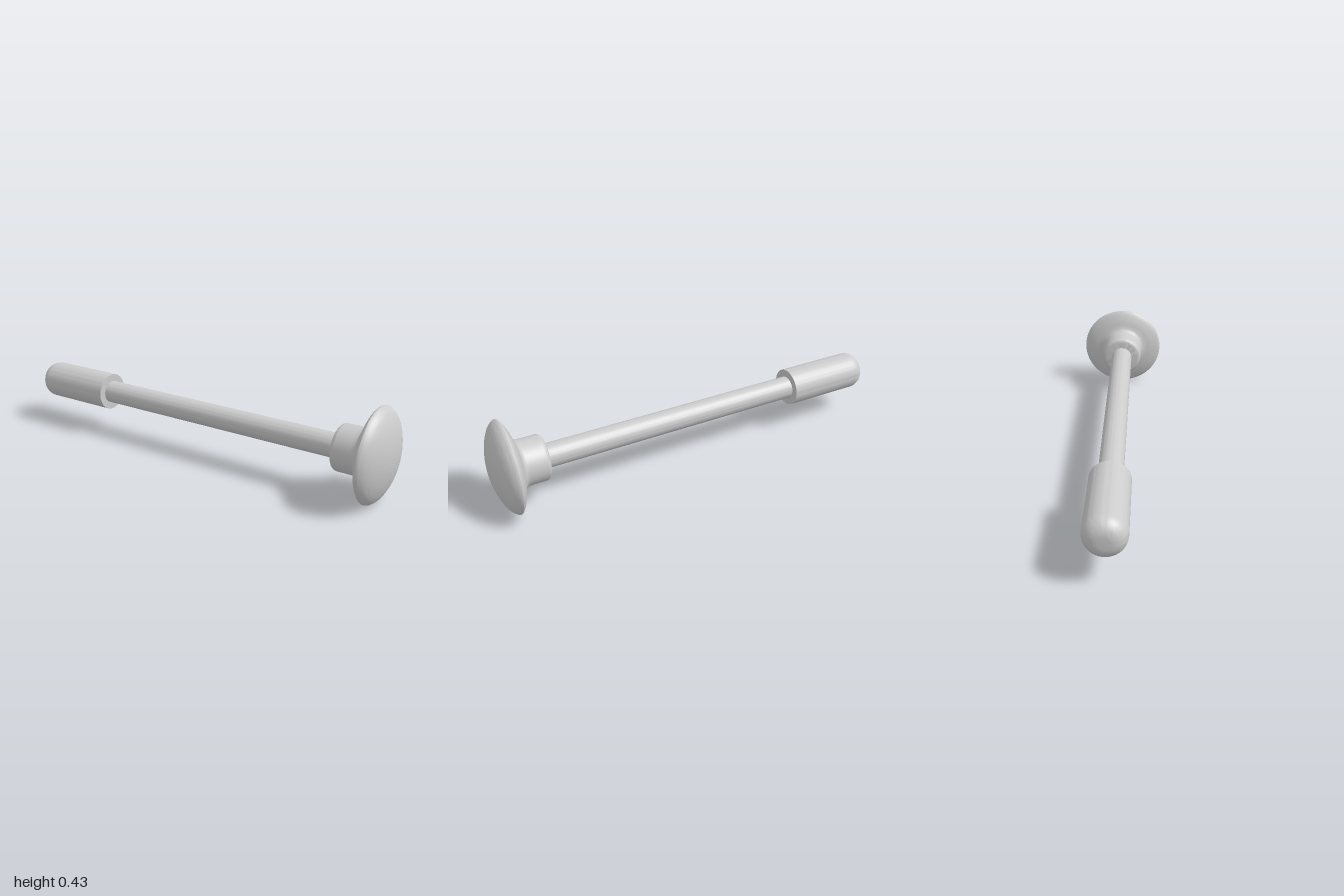
import * as THREE from 'three';
import { toCreasedNormals } from 'three/addons/utils/BufferGeometryUtils.js';

const AXIS_Y = 0.217;
const SEGMENTS = 64;

// Revolve a list of [radius, z] points, ordered back to front, around the z axis
function turned(name, profile) {
  const points = profile.map(([r, z]) => new THREE.Vector2(r, z));
  const geometry = new THREE.LatheGeometry(points, SEGMENTS).rotateX(Math.PI / 2);
  const mesh = new THREE.Mesh(
    toCreasedNormals(geometry, 0.7),
    new THREE.MeshStandardMaterial({ color: 0xcccccc })
  );
  mesh.name = name;
  return mesh;
}

// Rounded corner running from the back face out to the side wall
function backCorner(radius, z, size, steps = 8) {
  return Array.from({ length: steps + 1 }, (_, i) => {
    const a = (i / steps) * Math.PI / 2;
    return [radius - size + size * Math.sin(a), z + size - size * Math.cos(a)];
  });
}

// Smooth curve through a few [radius, z] points
function smooth(points, steps) {
  const curve = new THREE.SplineCurve(points.map(([r, z]) => new THREE.Vector2(r, z)));
  return curve.getPoints(steps).map((p) => [Math.max(p.x, 0), p.y]);
}

export function createModel() {
  const group = new THREE.Group();
  group.name = 'plungerKnob';

  // Straight rod, ends buried in the grip and the collar
  const rod = turned('rod', [[0, -0.6], [0.056, -0.6], [0.056, 0.78], [0, 0.78]]);

  // Cylindrical grip with a rounded back end and a flat front shoulder
  const grip = turned('grip', [
    [0, -1], ...backCorner(0.092, -1, 0.066, 10), [0.092, -0.555], [0, -0.555],
  ]);

  // Collar flaring into the domed knob
  const flare = smooth([
    [0.107, 0.84], [0.112, 0.861], [0.13, 0.874], [0.165, 0.885], [0.2, 0.901], [0.215, 0.912],
  ], 20);
  const dome = smooth([
    [0.217, 0.917], [0.211, 0.93], [0.19, 0.951], [0.15, 0.972], [0.1, 0.988], [0.05, 0.997], [0, 1],
  ], 24);
  const knob = turned('knob', [
    [0, 0.745], ...backCorner(0.107, 0.745, 0.02, 6), ...flare, ...dome,
  ]);

  group.add(rod, grip, knob);
  group.position.y = AXIS_Y;

  const model = new THREE.Group();
  model.add(group);
  return model;
}
